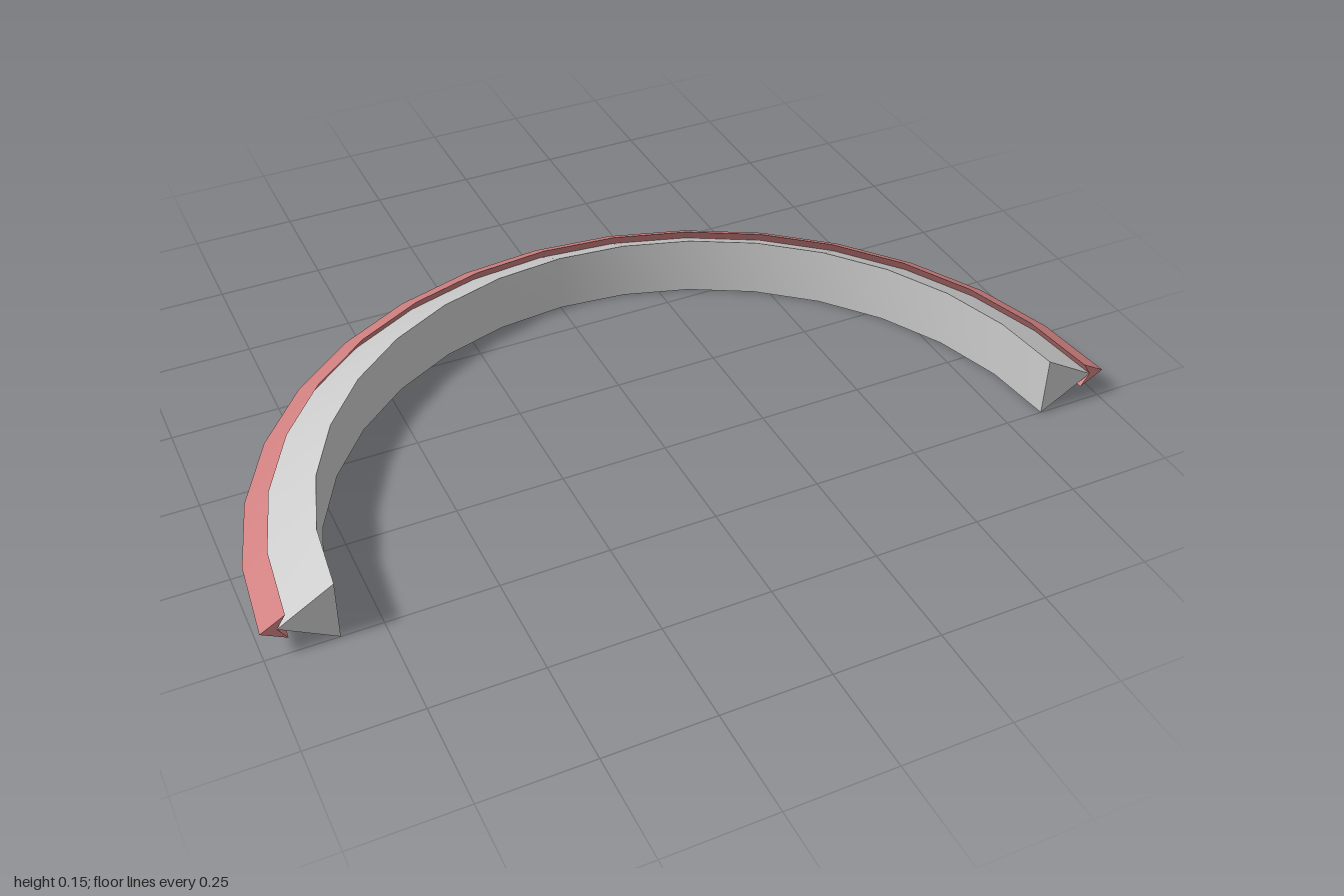
import * as THREE from 'three';
import { mergeGeometries, toCreasedNormals } from 'three/addons/utils/BufferGeometryUtils.js';

// Flat end cap on the +x (side = 1) or -x (side = -1) end of the arc
function endCap(section, side) {
  const shape = new THREE.Shape(section.map(([r, y]) => new THREE.Vector2(side * r, y)));
  return new THREE.ShapeGeometry(shape).toNonIndexed();
}

// Sweeps a closed counter-clockwise (radius, height) section through a half circle
function halfRing(name, section, color) {
  const profile = [...section, section[0]].map(([r, y]) => new THREE.Vector2(r, y));
  const sweep = toCreasedNormals(new THREE.LatheGeometry(profile, 16, Math.PI / 2, Math.PI), 0.4);
  const geometry = mergeGeometries([sweep, endCap(section, 1), endCap(section, -1)]);
  const mesh = new THREE.Mesh(geometry, new THREE.MeshStandardMaterial({ color }));
  mesh.name = name;
  mesh.position.z = 0.5;
  return mesh;
}

export function createModel() {
  const group = new THREE.Group();
  group.name = 'curvedBlade';

  // Wedge-shaped body, flat on the inside and tapering outward
  group.add(halfRing('bladeBody', [[0.842, 0], [0.965, 0.0735], [0.842, 0.147]], 0xcccccc));

  // Barbed V-shaped cutting edge with a notch around the body's tip
  group.add(halfRing('cuttingEdge',
    [[0.945, 0.042], [1, 0.0735], [0.945, 0.105], [0.965, 0.0735]], 0xd08080));

  return group;
}
